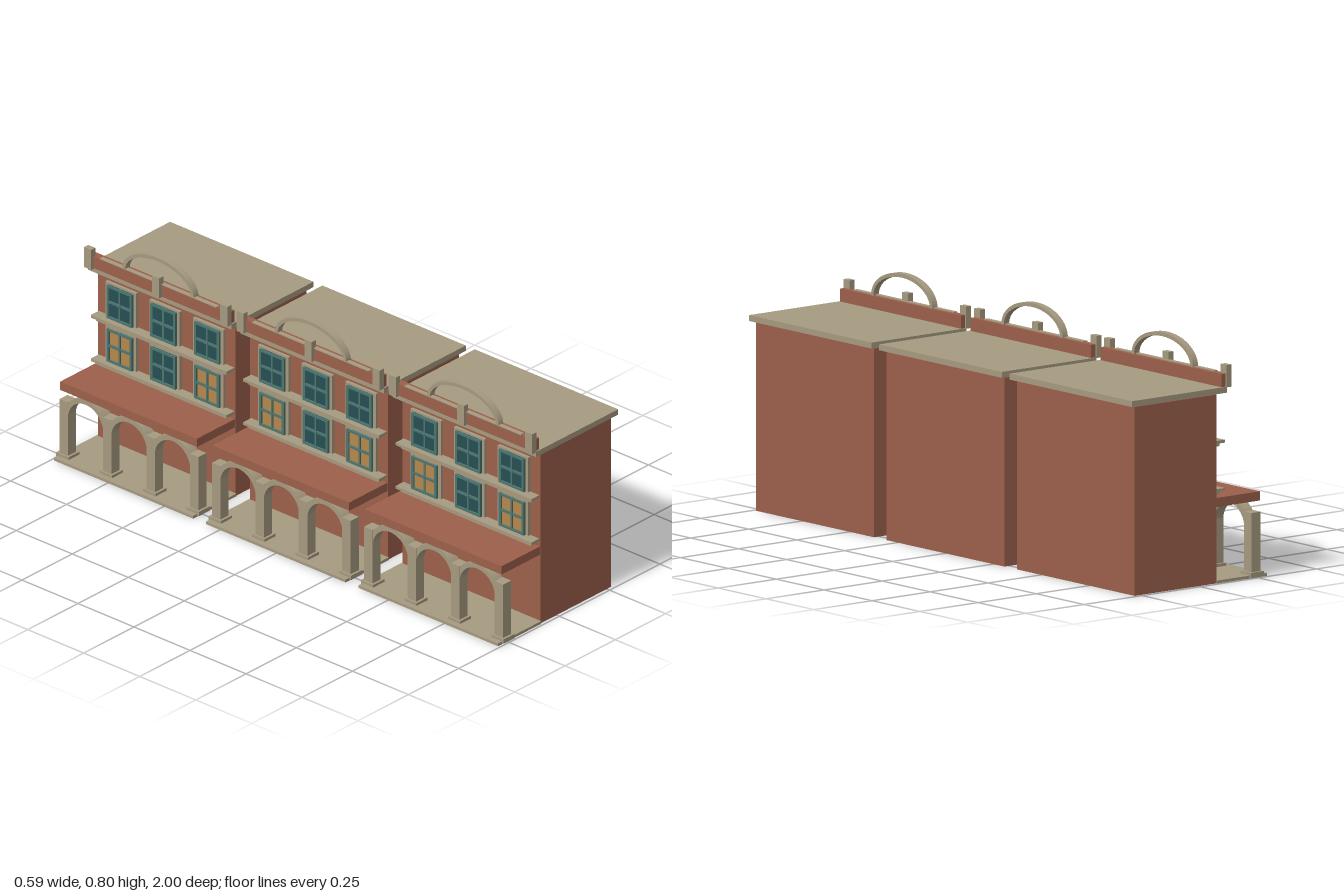
import * as THREE from 'three';

const mat = (name, color) => {
  const m = new THREE.MeshStandardMaterial({ color });
  m.name = name;
  return m;
};

export function createModel() {
  const brick = mat('brick', 0x9c604b);
  const stone = mat('stone', 0xa69a80);
  const frameTeal = mat('frameTeal', 0x4d7570);
  const glass = mat('darkGlass', 0x264f54);
  const litGlass = mat('litGlass', 0xb5874c);

  // Box given by its extents in x and y, and by centre and width in z
  const box = (parent, name, material, x0, x1, y0, y1, z, w) => {
    const mesh = new THREE.Mesh(new THREE.BoxGeometry(x1 - x0, y1 - y0, w), material);
    mesh.position.set((x0 + x1) / 2, (y0 + y1) / 2, z);
    mesh.name = name;
    parent.add(mesh);
    return mesh;
  };

  // Half-ring standing in the z-y plane, from x0 to x1
  const arch = (parent, name, x0, x1, y, z, rz, ry, t) => {
    const s = new THREE.Shape();
    s.absellipse(0, 0, rz, ry, 0, Math.PI, false, 0);
    s.lineTo(-rz + t, 0);
    s.absellipse(0, 0, rz - t, ry - t, Math.PI, 0, true, 0);
    s.closePath();
    const g = new THREE.ExtrudeGeometry(s, { depth: x1 - x0, bevelEnabled: false, curveSegments: 20 });
    g.rotateY(Math.PI / 2);
    const mesh = new THREE.Mesh(g, stone);
    mesh.position.set(x0, y, z);
    mesh.name = name;
    parent.add(mesh);
  };

  // Sash window with a stone surround; y is its sill level
  const makeWindow = (parent, y, z, pane) => {
    const g = new THREE.Group();
    g.name = 'window';
    const w = 0.112, h = 0.123;
    for (const s of [-1, 1]) {
      box(g, 'surroundSide', stone, -0.091, -0.08, y, y + 0.13, z + s * 0.062, 0.012);
      box(g, 'frameSide', frameTeal, -0.1, -0.08, y, y + h, z + s * (w / 2 - 0.005), 0.01);
    }
    box(g, 'surroundHead', stone, -0.091, -0.08, y + h, y + 0.13, z, 0.136);
    box(g, 'glassPane', pane, -0.094, -0.086, y, y + h, z, w - 0.01);
    for (const yy of [0, h / 2 - 0.004, h - 0.008])
      box(g, 'frameRail', frameTeal, -0.1, -0.086, y + yy, y + yy + 0.008, z, w);
    box(g, 'mullion', frameTeal, -0.0985, -0.086, y, y + h, z, 0.007);
    box(g, 'latch', frameTeal, -0.103, -0.098, y + h / 2 - 0.003, y + h / 2 + 0.003, z, 0.012);
    parent.add(g);
  };

  const makeHouse = () => {
    const house = new THREE.Group();
    house.name = 'house';
    box(house, 'body', brick, -0.08, 0.272, 0, 0.638, 0, 0.615);
    box(house, 'roofSlab', stone, -0.115, 0.293, 0.642, 0.662, 0, 0.64);
    box(house, 'roofBed', brick, -0.078, 0.27, 0.638, 0.642, 0, 0.6);

    // Parapet with posts, coping and crowning arch
    box(house, 'parapet', brick, -0.122, -0.095, 0.662, 0.706, 0, 0.63);
    box(house, 'coping', stone, -0.124, -0.108, 0.706, 0.709, 0, 0.52);
    for (const z of [-0.304, 0, 0.304])
      box(house, 'parapetPost', stone, -0.135, -0.114, 0.66, 0.735, z, 0.032);
    arch(house, 'crownArch', -0.123, -0.1, 0.706, 0, 0.16, 0.095, 0.013);

    // Two storeys of windows on stepped ledges
    for (const [y, row] of [[0.48, 'upper'], [0.317, 'lower']]) {
      box(house, row + 'Sill', stone, -0.12, -0.08, y - 0.01, y, 0, 0.606);
      box(house, row + 'Ledge', stone, -0.108, -0.08, y - 0.022, y - 0.01, 0, 0.58);
      for (const i of [-1, 0, 1])
        makeWindow(house, y, i * 0.195, row === 'lower' && i !== 0 ? litGlass : glass);
    }

    // Arcade
    box(house, 'canopy', brick, -0.27, -0.08, 0.257, 0.288, 0, 0.61);
    box(house, 'platform', stone, -0.295, -0.08, 0, 0.01, 0, 0.622);
    for (let i = 0; i < 4; i++) {
      const z = (i - 1.5) * 0.194;
      box(house, 'pillarBase', stone, -0.275, -0.22, 0.004, 0.02, z, 0.055);
      box(house, 'pillar', stone, -0.268, -0.228, 0.02, 0.22, z, 0.038);
      if (i < 3) arch(house, 'arcadeArch', -0.267, -0.229, 0.16, z + 0.097, 0.097, 0.097, 0.018);
    }
    return house;
  };

  const model = new THREE.Group();
  model.name = 'terrace';
  for (const z of [-0.68, 0, 0.68]) {
    const house = makeHouse();
    house.position.z = z;
    model.add(house);
  }
  return model;
}
